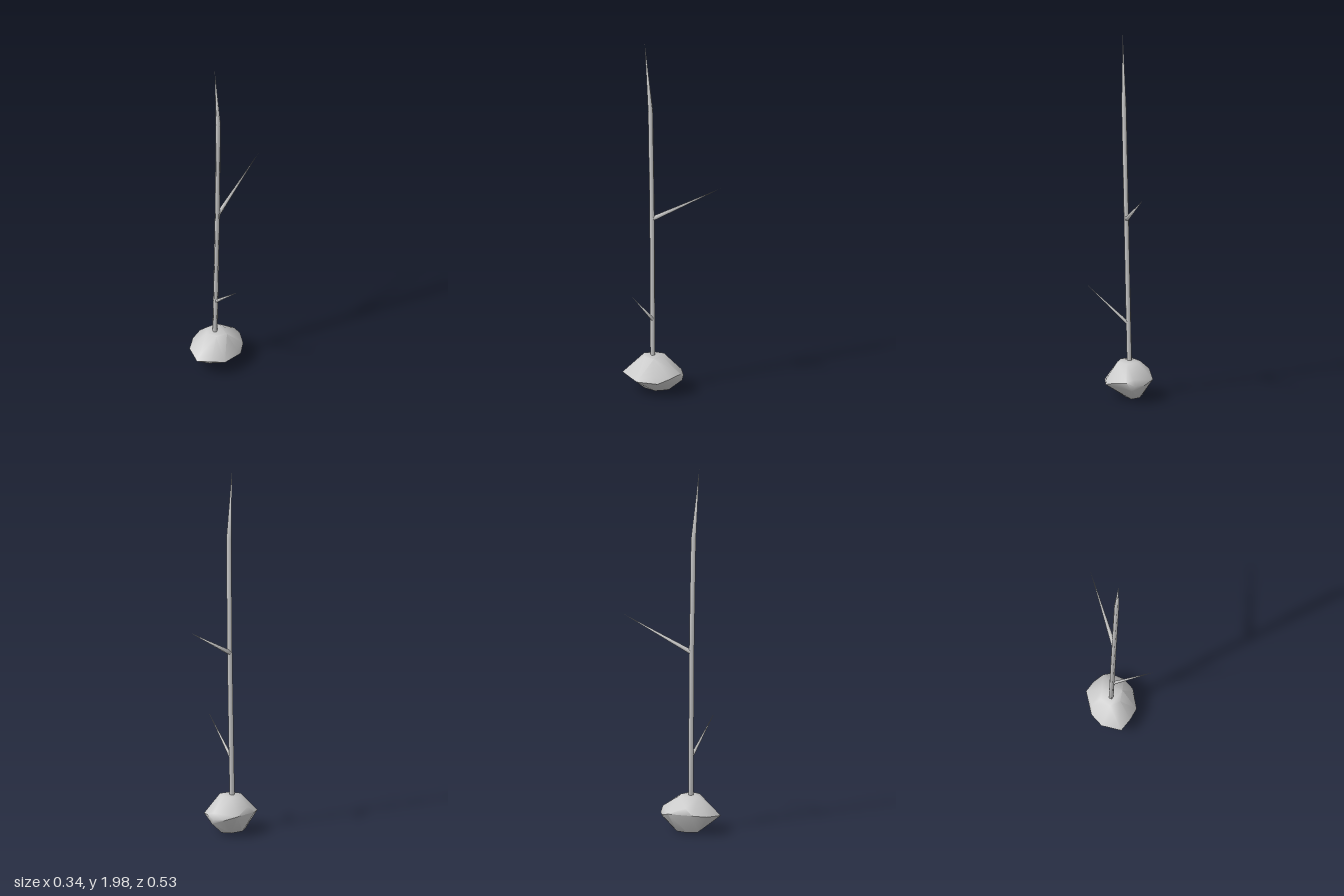
import * as THREE from 'three';
import { ConvexGeometry } from 'three/addons/geometries/ConvexGeometry.js';
import { mergeVertices, toCreasedNormals } from 'three/addons/utils/BufferGeometryUtils.js';

const material = new THREE.MeshStandardMaterial({ color: 0xcccccc });

function addMesh(group, name, geometry) {
  const mesh = new THREE.Mesh(geometry, material);
  mesh.name = name;
  group.add(mesh);
}

// Tapered low-poly shoot ending in a point; each section is [x, y, z, radius]
function shoot(sections, sides) {
  const centres = sections.map(s => new THREE.Vector3(s[0], s[1], s[2]));
  const axis = centres.at(-1).clone().sub(centres[0]).normalize();
  const turn = new THREE.Quaternion().setFromUnitVectors(new THREE.Vector3(0, 1, 0), axis);
  const geometry = new THREE.CylinderGeometry(1, 1, 1, sides, sections.length - 1, true);
  const pos = geometry.attributes.position;
  const v = new THREE.Vector3();
  for (let i = 0; i < pos.count; i++) {
    const k = Math.round((0.5 - pos.getY(i)) * (sections.length - 1));
    const ring = sections.length - 1 - k;
    const r = sections[ring][3];
    v.set(pos.getX(i) * r, 0, pos.getZ(i) * r).applyQuaternion(turn).add(centres[ring]);
    pos.setXYZ(i, v.x, v.y, v.z);
  }
  geometry.deleteAttribute('uv');
  geometry.deleteAttribute('normal');
  const merged = mergeVertices(geometry, 1e-5);
  merged.computeVertexNormals();
  return merged;
}

// Irregular stone: hull of its widest outline, a flat crown and a flat foot
function stone() {
  const points = [
    // widest outline
    [-0.045, 0.1, -0.06], [0, 0.12, -0.05], [0.06, 0.11, 0], [0.09, 0.09, 0.06],
    [0.08, 0.12, 0.08], [0.072, 0.09, 0.175], [0.02, 0.1, 0.225], [-0.045, 0.1, 0.268],
    [-0.137, 0.11, 0.213], [-0.17, 0.12, 0.14], [-0.155, 0.12, 0.005], [-0.1, 0.1, -0.04],
    [-0.04, 0.135, -0.05], [-0.155, 0.155, 0.1], [-0.045, 0.122, 0.245], [-0.03, 0.075, -0.055],
    // crown
    [-0.105, 0.2, 0.1], [-0.08, 0.205, 0.05], [-0.02, 0.2, 0.045],
    [0.02, 0.205, 0.09], [-0.01, 0.205, 0.145], [-0.07, 0.205, 0.155],
    // foot
    [-0.12, 0.015, 0.1], [-0.09, 0.012, 0.04], [-0.04, 0.012, 0.02],
    [-0.025, 0.008, 0.09], [-0.05, 0.012, 0.15], [-0.1, 0.015, 0.155], [-0.06, 0.05, 0.205],
  ].map(p => new THREE.Vector3(...p));
  return toCreasedNormals(new ConvexGeometry(points), 0.95);
}

export function createModel() {
  const group = new THREE.Group();
  group.name = 'sprout';
  addMesh(group, 'stone', stone());
  addMesh(group, 'stem', shoot([
    [-0.05, 0.15, 0.105, 0.014], [-0.044, 0.41, 0.105, 0.014],
    [-0.032, 1, 0.106, 0.014], [-0.021, 1.6, 0.113, 0.014], [-0.02, 1.985, 0.145, 0],
  ], 5));
  addMesh(group, 'upperBranch', shoot([[-0.033, 0.983, 0.105, 0.013], [-0.04, 1.175, -0.265, 0]], 5));
  addMesh(group, 'lowerBranch', shoot([[-0.044, 0.405, 0.104, 0.01], [0.165, 0.61, 0.187, 0]], 5));
  return group;
}
